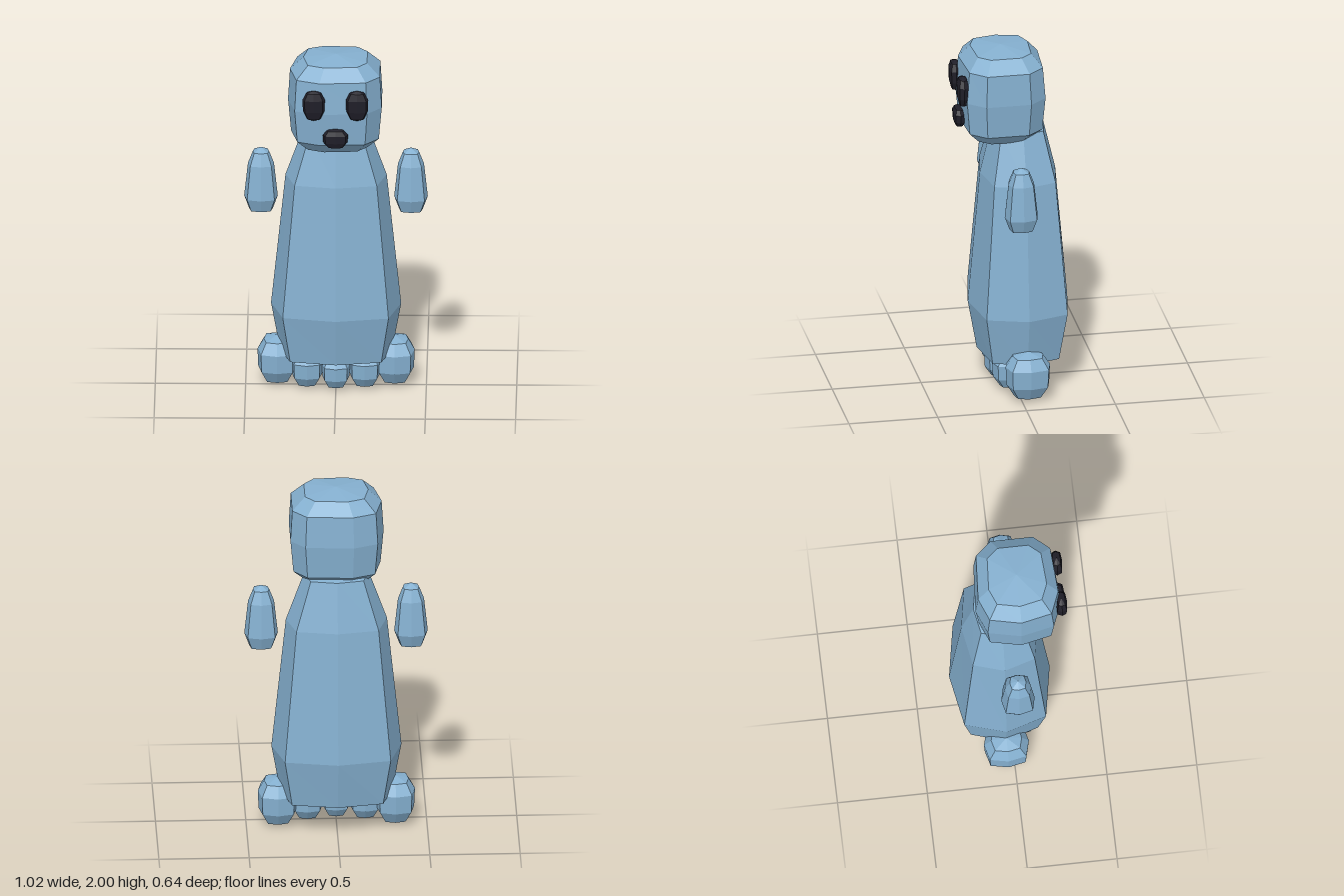
import * as THREE from 'three';

const skin = new THREE.MeshStandardMaterial({ color: 0x85b0d0, flatShading: true });
skin.name = 'pale blue skin';
const dark = new THREE.MeshStandardMaterial({ color: 0x1f1e28, flatShading: true });
dark.name = 'near black';

// Squared-off sine/cosine, giving boxy rounded cross-sections
const boxy = (v) => (Math.abs(v) < 1e-6 ? 0 : Math.sign(v) * Math.abs(v) ** 0.6);

// Closed faceted form: rings of [y, rx, rz] from bottom to top, with a pole at each end
function loft(sides, bottomY, rings, topY) {
  const pos = [0, bottomY, 0];
  const index = [];
  for (const [y, rx, rz] of rings) {
    for (let i = 0; i < sides; i++) {
      const a = Math.PI + (i / sides) * Math.PI * 2;
      pos.push(boxy(Math.cos(a)) * rx, y, boxy(Math.sin(a)) * rz);
    }
  }
  const top = pos.length / 3;
  pos.push(0, topY, 0);
  const at = (r, i) => 1 + r * sides + (i % sides);
  const last = rings.length - 1;
  for (let i = 0; i < sides; i++) {
    index.push(0, at(0, i), at(0, i + 1));
    for (let r = 0; r < last; r++) {
      const a = at(r, i), b = at(r, i + 1), c = at(r + 1, i + 1), d = at(r + 1, i);
      index.push(a, d, c, a, c, b);
    }
    index.push(at(last, i), top, at(last, i + 1));
  }
  const g = new THREE.BufferGeometry();
  g.setAttribute('position', new THREE.Float32BufferAttribute(pos, 3));
  g.setIndex(index);
  const flat = g.toNonIndexed();
  flat.computeVertexNormals();
  return flat;
}

// Small pebble form, unit size, used for the toes and face details
const pebble = (sides = 8) => loft(sides, -1, [
  [-0.85, 0.62, 0.62], [-0.35, 0.96, 0.96], [0.4, 1, 1], [0.84, 0.68, 0.68],
], 1);

export function createModel() {
  const model = new THREE.Group();
  const add = (name, geometry, material, x, y, z) => {
    const mesh = new THREE.Mesh(geometry, material);
    mesh.name = name;
    mesh.position.set(x, y, z);
    model.add(mesh);
    return mesh;
  };

  // Tall tapering body
  add('body', loft(8, 0.14, [
    [0.19, 0.31, 0.23],
    [0.47, 0.36, 0.28],
    [1.24, 0.28, 0.212],
    [1.52, 0.18, 0.145],
  ], 1.54), skin, 0, 0, -0.043);

  // Nine-sided head
  add('head', loft(9, 1.46, [
    [1.475, 0.18, 0.16],
    [1.54, 0.248, 0.222],
    [1.73, 0.265, 0.24],
    [1.91, 0.254, 0.225],
    [1.98, 0.18, 0.163],
  ], 2), skin, 0, 0, 0.052);

  // Floating arms
  const arm = loft(8, 1.04, [
    [1.06, 0.066, 0.066],
    [1.135, 0.093, 0.093],
    [1.33, 0.072, 0.072],
    [1.4, 0.045, 0.045],
  ], 1.425);
  for (const s of [-1, 1]) {
    const side = s > 0 ? 'left' : 'right';
    add(side + 'Arm', arm, skin, s * 0.415, 0, 0.014);

    // Feet and eyes
    add(side + 'Foot', pebble(), skin, s * 0.325, 0.14, -0.04).scale.set(0.11, 0.14, 0.125);
    add(side + 'Toe', pebble(), skin, s * 0.16, 0.115, 0.02).scale.set(0.088, 0.11, 0.11);
    add(side + 'Eye', pebble(), dark, s * 0.12, 1.785, 0.288).scale.set(0.062, 0.09, 0.032);
  }
  add('middleToe', pebble(), skin, 0, 0.105, 0.045).scale.set(0.078, 0.1, 0.1);
  add('mouth', pebble(), dark, 0, 1.588, 0.288).scale.set(0.07, 0.058, 0.032);

  return model;
}
